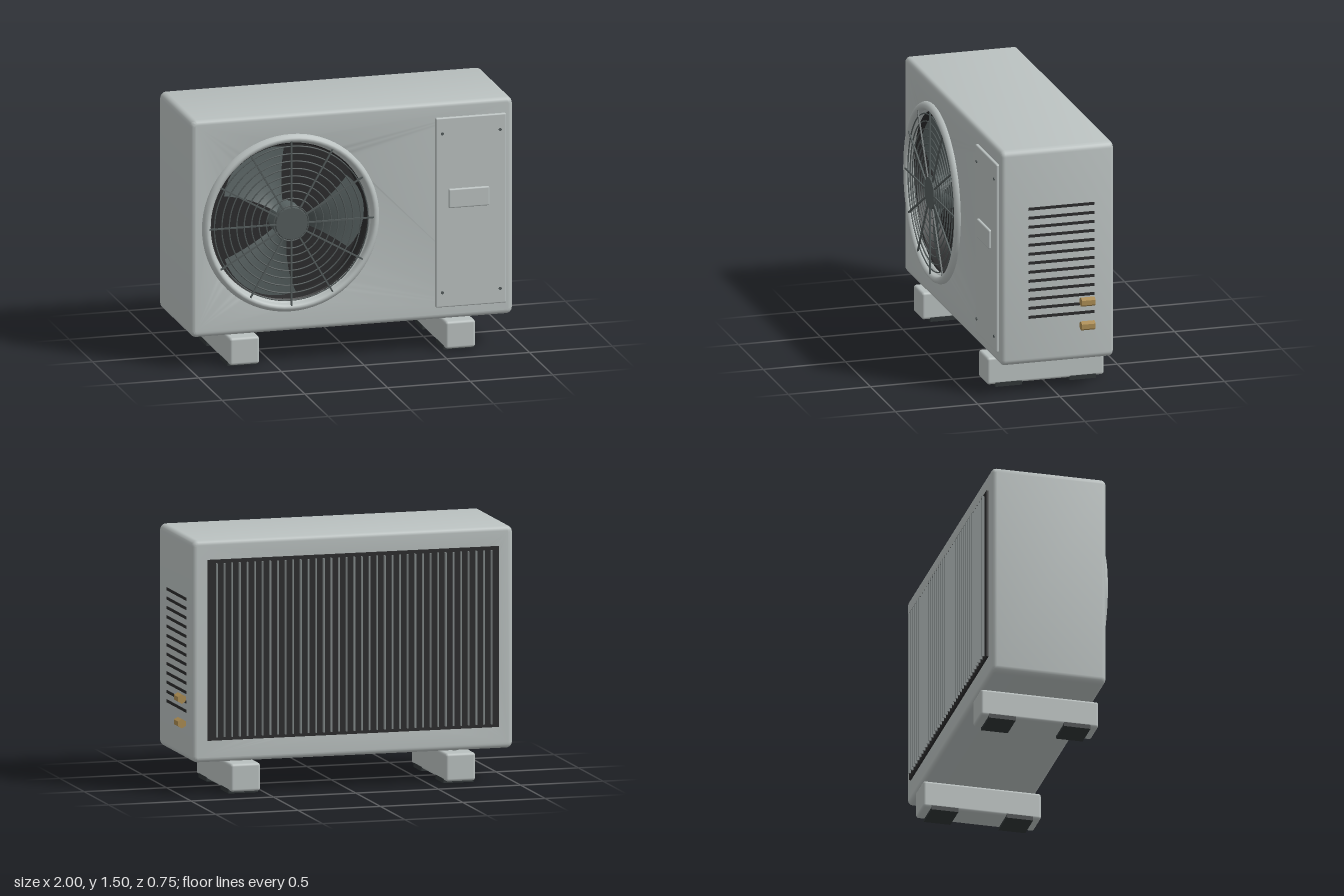
import * as THREE from 'three';
import { toCreasedNormals } from 'three/addons/utils/BufferGeometryUtils.js';
import { RoundedBoxGeometry } from 'three/addons/geometries/RoundedBoxGeometry.js';

const mat = (name, color, side = THREE.FrontSide) => {
  const m = new THREE.MeshStandardMaterial({ color, side });
  m.name = name;
  return m;
};

export function createModel() {
  const casing = mat('casing grey', 0xb9c0bf);
  const dark = mat('dark interior', 0x2b2b2c, THREE.DoubleSide);
  const wire = mat('guard grey', 0x535b5b);
  const bladeMat = mat('blade grey', 0x566060, THREE.DoubleSide);
  const finMat = mat('fin grey', 0x7f8686);
  const rubber = mat('rubber', 0x303637);
  const brass = mat('brass', 0xaa8b52);

  const model = new THREE.Group();
  model.name = 'outdoorUnit';
  const add = (name, geo, material, x = 0, y = 0, z = 0, parent = model) => {
    const m = new THREE.Mesh(geo, material);
    m.name = name;
    m.position.set(x, y, z);
    parent.add(m);
    return m;
  };
  const box = (w, h, d) => new THREE.BoxGeometry(w, h, d);
  const lathe = (pts) => new THREE.LatheGeometry(
    pts.map(([r, z]) => new THREE.Vector2(r, z)), 72).rotateX(Math.PI / 2);

  const FX = -0.4, FY = 0.85; // fan centre

  // Casing: rounded box with a round fan opening
  const x0 = -1, x1 = 0.945, y0 = 0.195, y1 = 1.505, cr = 0.036, bevel = 0.028;
  const outline = [];
  [[x1 - cr, y1 - cr], [x0 + cr, y1 - cr], [x0 + cr, y0 + cr], [x1 - cr, y0 + cr]].forEach(([cx, cy], k) => {
    for (let i = 0; i <= 6; i++) {
      const a = (k + i / 6) * Math.PI / 2;
      outline.push(new THREE.Vector2(cx + cr * Math.cos(a), cy + cr * Math.sin(a)));
    }
  });
  const shape = new THREE.Shape(outline);
  shape.holes.push(new THREE.Path().absarc(FX, FY, 0.475, 0, Math.PI * 2, true));
  const shell = new THREE.ExtrudeGeometry(shape, {
    depth: 0.685 - 2 * bevel, bevelEnabled: true, bevelThickness: bevel,
    bevelSize: bevel, bevelOffset: -bevel, bevelSegments: 5, curveSegments: 64,
  });
  add('casing', toCreasedNormals(shell, 0.6), casing, 0, 0, -0.345 + bevel);

  // Fan assembly
  const fan = new THREE.Group();
  fan.name = 'fan';
  fan.position.set(FX, FY, 0);
  model.add(fan);
  add('fanShroud', toCreasedNormals(lathe([[0, 0.19], [0.468, 0.19], [0.468, 0.31], [0.506, 0.345]]), 0.5),
    dark, 0, 0, 0, fan);
  add('fanRim', lathe([[0.535, 0.335], [0.535, 0.347], [0.529, 0.361], [0.517, 0.371], [0.507, 0.373],
    [0.497, 0.369], [0.489, 0.358], [0.486, 0.335]]), casing, 0, 0, 0, fan);
  add('fanHub', new THREE.CylinderGeometry(0.095, 0.1, 0.12, 40).rotateX(Math.PI / 2), bladeMat, 0, 0, 0.27, fan);

  // Pitched blades, widening outwards with rounded tips
  const bladeGeo = new THREE.PlaneGeometry(1, 1, 10, 10);
  const p = bladeGeo.attributes.position;
  for (let i = 0; i < p.count; i++) {
    const u = p.getX(i) + 0.5, v = p.getY(i) * 2;
    const r = 0.08 + u * (0.385 - 0.035 * v * v);
    const a = v * (0.36 + 0.2 * u) + 0.06 * u;
    p.setXYZ(i, r * Math.cos(a), r * Math.sin(a), 0.27 + v * (0.045 - 0.01 * u));
  }
  bladeGeo.computeVertexNormals();
  for (let i = 0; i < 3; i++) {
    add('fanBlade', bladeGeo, bladeMat, 0, 0, 0, fan).rotation.z = i * Math.PI * 2 / 3;
  }

  // Wire guard: rings, spokes and centre cap
  const guard = new THREE.Group();
  guard.name = 'fanGuard';
  fan.add(guard);
  for (let i = 0; i < 9; i++) {
    add('guardRing', new THREE.TorusGeometry(0.105 + i * 0.045, 0.004, 6, 72), wire, 0, 0, 0.358, guard);
  }
  const spokeGeo = box(0.42, 0.009, 0.009).translate(0.295, 0, 0);
  for (let i = 0; i < 12; i++) {
    add('guardSpoke', spokeGeo, wire, 0, 0, 0.364, guard).rotation.z = i * Math.PI / 6;
  }
  add('guardCap', new THREE.CylinderGeometry(0.095, 0.1, 0.018, 40).rotateX(Math.PI / 2), wire, 0, 0, 0.362, guard);

  // Service panel with label plate and screws
  add('servicePanel', new RoundedBoxGeometry(0.425, 1.145, 0.03, 3, 0.008), casing, 0.6875, 0.8425, 0.342);
  add('labelPlate', new RoundedBoxGeometry(0.245, 0.115, 0.03, 3, 0.008), casing, 0.6725, 0.9275, 0.357);
  const screwGeo = new THREE.CylinderGeometry(0.009, 0.009, 0.012, 16).rotateX(Math.PI / 2);
  for (const x of [0.513, 0.863]) for (const y of [0.36, 1.32]) {
    add('panelScrew', screwGeo, wire, x, y, 0.356);
  }

  // Side vent slots
  const slotGeo = box(0.008, 0.017, 0.4);
  for (let i = 0; i < 13; i++) add('ventSlot', slotGeo, dark, 0.945, 0.483 + i * 0.055, -0.025);

  // Hexagonal pipe valves
  const valveGeo = toCreasedNormals(new THREE.CylinderGeometry(0.028, 0.028, 0.083, 6).rotateX(Math.PI / 2), 0.3);
  for (const y of [0.41, 0.555]) add('pipeValve', valveGeo, brass, 0.972, y, -0.177);

  // Rear coil with vertical fins
  add('rearCoil', box(1.765, 1.065, 0.02), dark, -0.0275, 0.8575, -0.348);
  const finGeo = box(0.008, 1.025, 0.03);
  for (let i = 0; i < 37; i++) add('coilFin', finGeo, finMat, -0.863 + i * 0.0463, 0.8575, -0.36);

  // Feet with posts and rubber pads
  const footGeo = new RoundedBoxGeometry(0.18, 0.165, 0.71, 3, 0.016);
  const postGeo = new THREE.CylinderGeometry(0.019, 0.019, 0.04, 20);
  for (const x of [-0.68, 0.625]) {
    add('foot', footGeo, casing, x, 0.0975, 0);
    for (const s of [-1, 1]) {
      add('footPost', postGeo, finMat, x, 0.187, s * 0.225);
      add('footPad', box(0.181, 0.026, 0.16), rubber, x, 0.013, s * 0.225);
    }
  }
  return model;
}
